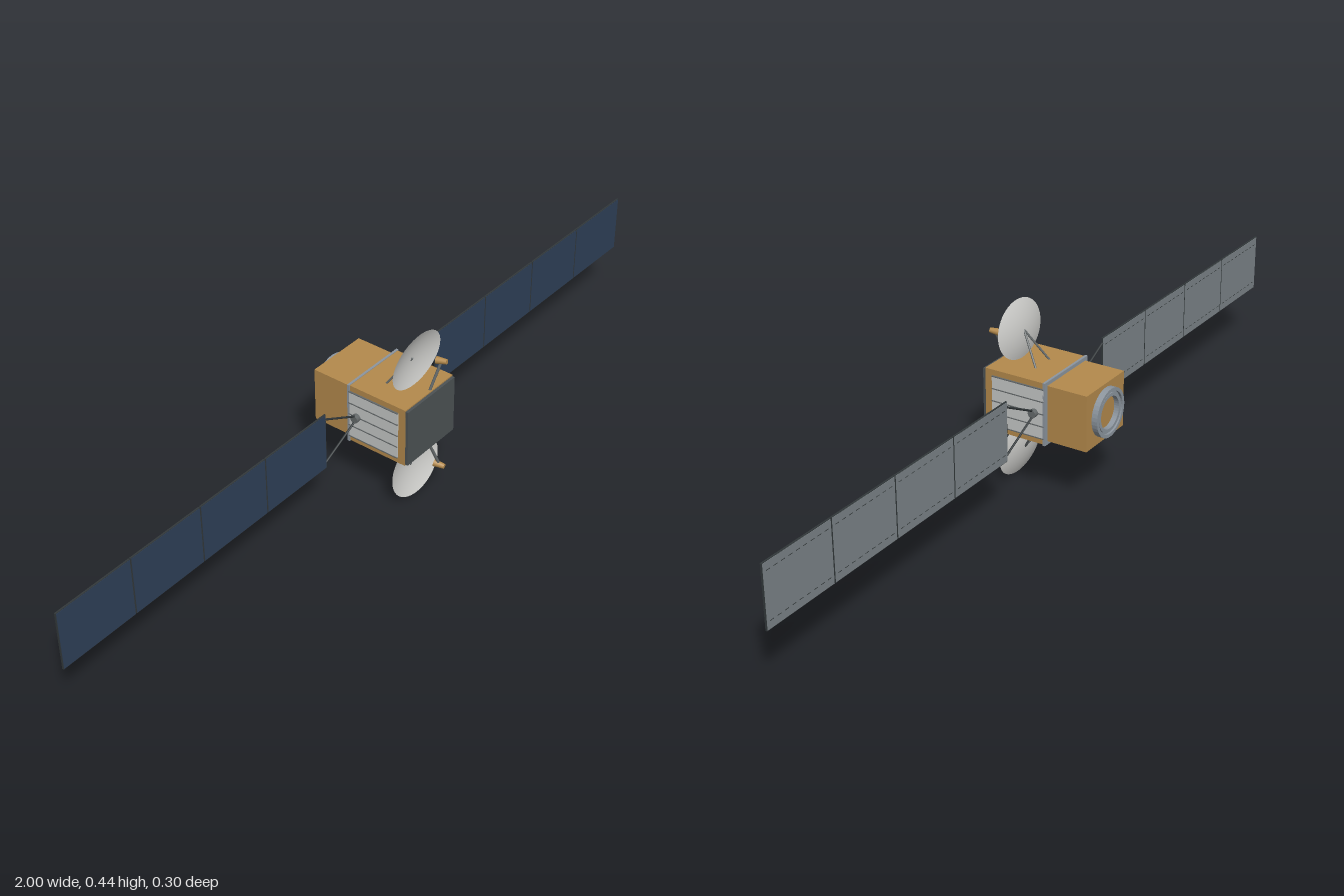
import * as THREE from 'three';

const mat = (name, color, extra = {}) => {
  const m = new THREE.MeshStandardMaterial({ color, ...extra });
  m.name = name;
  return m;
};

export function createModel() {
  const gold = mat('gold foil', 0xb48a4c);
  const navy = mat('solar cell navy', 0x2e3f57);
  const backGrey = mat('panel back grey', 0x7c8488);
  const dark = mat('dark struts', 0x32383a);
  const plate = mat('front plate grey', 0x4c5254);
  const white = mat('radiator white', 0xc6c8c7);
  const steel = mat('steel', 0x8d969f);
  const dishMat = mat('dish light grey', 0xcfcfcc, { side: THREE.DoubleSide });
  const strutGrey = mat('strut grey', 0x64696a);

  const model = new THREE.Group();
  model.name = 'satellite';
  const CY = 0.2175; // height of the main axis
  const PZ = -0.003; // plane of the solar wings

  const add = (name, geo, material, x = 0, y = 0, z = 0) => {
    const m = new THREE.Mesh(geo, material);
    m.name = name;
    m.position.set(x, y, z);
    model.add(m);
    return m;
  };
  const box = (name, material, w, h, d, x, y, z) =>
    add(name, new THREE.BoxGeometry(w, h, d), material, x, y, z);
  // Tapered rod from point a to point b
  const rod = (name, material, a, b, ra, rb = ra, sides = 8) => {
    const A = new THREE.Vector3(...a), B = new THREE.Vector3(...b);
    const dir = B.clone().sub(A);
    const m = add(name, new THREE.CylinderGeometry(rb, ra, dir.length(), sides), material);
    m.position.copy(A).add(B).multiplyScalar(0.5);
    m.quaternion.setFromUnitVectors(new THREE.Vector3(0, 1, 0), dir.normalize());
    return m;
  };

  // Body
  box('mainBody', gold, 0.174, 0.152, 0.16, 0, CY, 0.05);
  box('rearBody', gold, 0.16, 0.137, 0.105, 0, CY, -0.081);
  box('frontPlate', plate, 0.172, 0.146, 0.008, 0, CY, 0.133);
  box('collar', steel, 0.18, 0.155, 0.006, 0, CY, -0.028);

  // Rear adapter ring with a stepped inner wall
  const ringProfile = [[0.059, 0], [0.059, 0.015], [0.051, 0.015], [0.051, 0.009],
    [0.047, 0.009], [0.047, 0.013], [0.039, 0.013], [0.039, 0]]
    .map(([r, y]) => new THREE.Vector2(r, y));
  const ringGeo = new THREE.LatheGeometry(ringProfile, 40).toNonIndexed();
  ringGeo.computeVertexNormals();
  const ring = add('adapterRing', ringGeo, steel, 0, CY, -0.133);
  ring.rotation.x = -Math.PI / 2;

  for (const s of [1, -1]) {
    // Side radiator with heat pipes
    box('radiator', white, 0.006, 0.122, 0.138, s * 0.087, CY, 0.042);
    for (let i = -2; i <= 2; i++) {
      box('heatPipe', strutGrey, 0.004, 0.0022, 0.138, s * 0.0895, CY + i * 0.0305, 0.042);
    }

    // Wing hub and yoke
    rod('wingHub', strutGrey, [s * 0.085, CY, PZ], [s * 0.102, CY, PZ], 0.01, 0.01, 16);
    for (const v of [1, -1]) {
      rod('yokeArm', dark, [s * 0.096, CY + v * 0.006, PZ], [s * 0.203, CY + v * 0.06, PZ], 0.0025);
    }

    // Solar wing: four panels with frames, cells and backing
    for (let i = 0; i < 4; i++) {
      const x = s * (0.3 + i * 0.2);
      box('panelFrame', dark, 0.1985, 0.146, 0.004, x, CY, PZ);
      box('solarCells', navy, 0.1955, 0.1435, 0.001, x, CY, PZ + 0.0022);
      box('panelBack', backGrey, 0.1955, 0.1435, 0.001, x, CY, PZ - 0.0022);
      for (const v of [1, -1]) {
        for (let k = 0; k < 9; k++) {
          box('backStitch', dark, 0.011, 0.0014, 0.0006, x + (k - 4) * 0.021, CY + v * 0.054, PZ - 0.0028);
        }
      }
      if (i < 3) {
        box('panelHinge', dark, 0.004, 0.12, 0.003, x + s * 0.1, CY, PZ);
      }
    }
  }

  // Upper and lower antennas
  const bowl = [];
  for (let i = 0; i <= 12; i++) {
    const r = i / 12;
    bowl.push(new THREE.Vector2(r, r * r - 1));
  }
  for (const v of [1, -1]) {
    const y = (d) => CY + v * d;
    const dish = add('dish', new THREE.LatheGeometry(bowl, 48), dishMat, 0, y(0.1482), 0.0945);
    dish.scale.set(0.086, 0.0135, 0.0697);
    dish.rotation.x = Math.PI / 2 + v * 0.104;
    for (const s of [1, -1]) {
      rod('dishStrut', strutGrey, [s * 0.029, y(0.074), 0.032], [0, y(0.148), 0.0825], 0.0025);
    }
    // Feed horn on its boom
    rod('feedBoom', strutGrey, [0.01, y(0.074), 0.124], [0.036, y(0.142), 0.135], 0.0035);
    rod('feedHorn', gold, [0.038, y(0.146), 0.149], [0.033, y(0.1435), 0.124], 0.006, 0.0088, 16);
  }

  return model;
}
